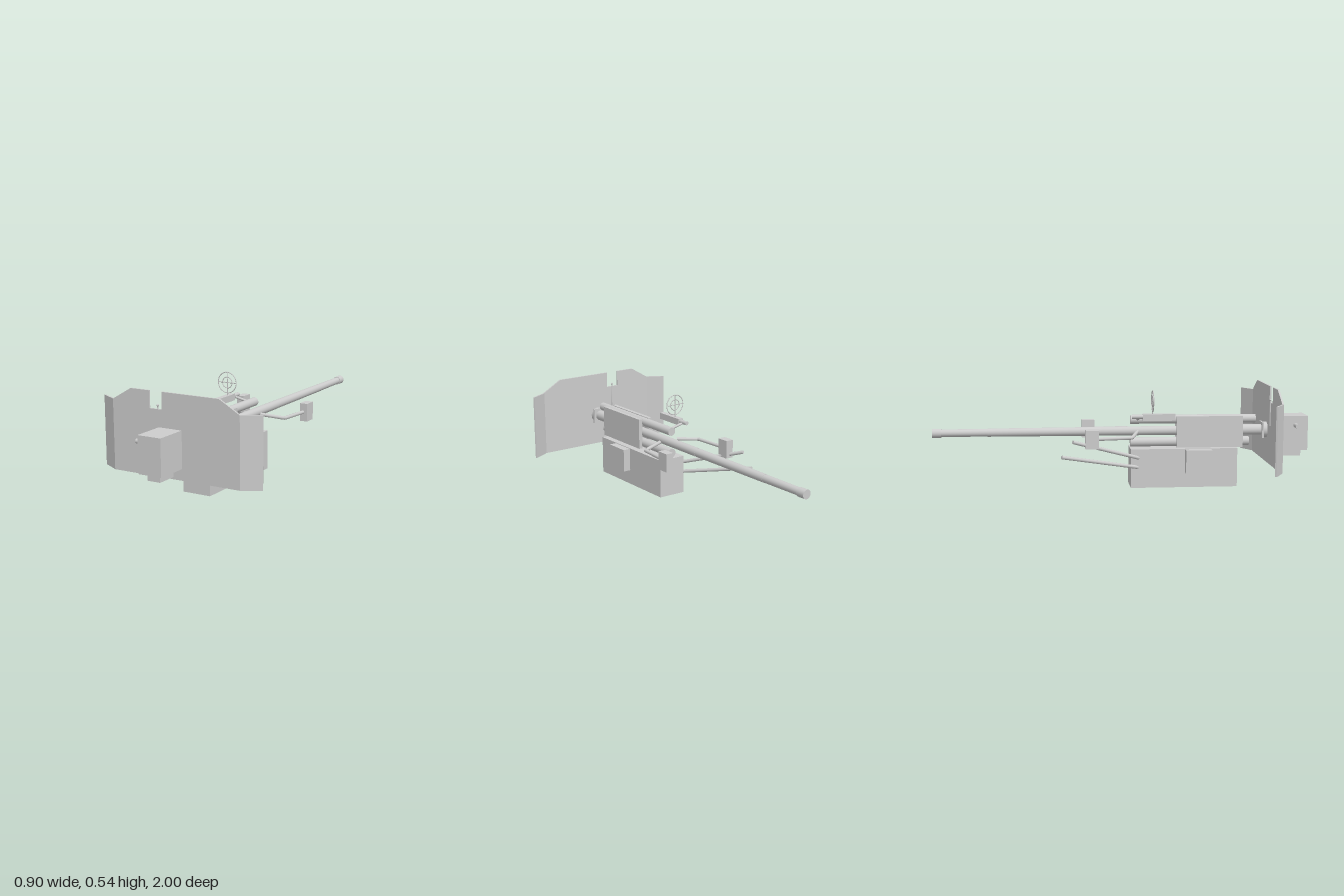
import * as THREE from 'three';

const grey = new THREE.MeshStandardMaterial({ color: 0xcccccc });
grey.name = 'light grey';

export function createModel() {
  const model = new THREE.Group();
  model.name = 'deckGun';

  const add = (name, geometry) => {
    const mesh = new THREE.Mesh(geometry, grey);
    mesh.name = name;
    model.add(mesh);
    return mesh;
  };
  // Box given by its extents
  const box = (name, x0, x1, y0, y1, z0, z1) => {
    const m = add(name, new THREE.BoxGeometry(x1 - x0, y1 - y0, z1 - z0));
    m.position.set((x0 + x1) / 2, (y0 + y1) / 2, (z0 + z1) / 2);
    return m;
  };
  // Round bar between two points
  const rod = (name, a, b, r0, r1 = r0, sides = 20) => {
    const p = new THREE.Vector3(...a), q = new THREE.Vector3(...b);
    const d = q.clone().sub(p);
    const m = add(name, new THREE.CylinderGeometry(r1, r0, d.length(), sides));
    m.position.copy(p).add(q).multiplyScalar(0.5);
    m.quaternion.setFromUnitVectors(new THREE.Vector3(0, 1, 0), d.normalize());
    return m;
  };

  // Mount and recoil cylinders
  box('mountBody', -0.078, 0.078, 0, 0.208, 0.045, 0.616);
  box('trunnionBlock', -0.12, 0.12, 0.08, 0.205, 0.335, 0.475);
  rod('upperRecoilCylinder', [0, 0.357, 0.725], [0, 0.357, 0.048], 0.023);
  rod('lowerRecoilCylinder', [0, 0.236, 0.69], [0, 0.236, 0.048], 0.025);

  // Barrel
  const by = 0.296;
  rod('breechTube', [0, by, 0.79], [0, by, 0.62], 0.029);
  rod('barrelRear', [0, by, 0.65], [0, by, -0.18], 0.025, 0.024);
  rod('barrelMiddle', [0, by, -0.18], [0, by, -0.71], 0.0235, 0.022);
  rod('barrelFront', [0, by, -0.71], [0, by, -0.96], 0.021, 0.02);
  rod('muzzle', [0, by, -0.953], [0, by, -1], 0.024);

  // Collar through the shield and front box
  rod('collar', [0, by, 0.835], [0, by, 0.766], 0.042);
  box('collarPlate', -0.042, 0.042, 0.254, 0.338, 0.757, 0.767);
  box('frontBox', -0.065, 0.063, 0.19, 0.375, 0.83, 1);
  box('frontBoxFoot', -0.036, 0.035, 0.155, 0.19, 0.862, 0.97);
  rod('crankHandle', [-0.06, 0.325, 0.932], [-0.12, 0.325, 0.932], 0.012);

  // Shield with sight notch
  const outline = [
    [-0.357, 0.12], [0.357, 0.12], [0.357, 0.475], [0.247, 0.538], [-0.071, 0.538],
    [-0.071, 0.452], [-0.143, 0.452], [-0.143, 0.538], [-0.25, 0.538], [-0.357, 0.475],
  ].map(([x, y]) => new THREE.Vector2(x, y));
  const shield = add('shield', new THREE.ExtrudeGeometry(new THREE.Shape(outline), { depth: 0.009, bevelEnabled: false }));
  shield.position.z = 0.787;

  for (const s of [-1, 1]) {
    const side = s > 0 ? 'left' : 'right';
    // Cradle cheek beside the barrel
    box(side + 'CradleCheek', s * 0.031 - 0.011, s * 0.031 + 0.011, 0.208, 0.376, 0.295, 0.652);

    // Swept-back shield wing
    const wing = add(side + 'ShieldWing', new THREE.BoxGeometry(0.106, 0.355, 0.009));
    wing.position.set(s * 0.401, 0.2975, 0.766);
    wing.rotation.y = s * Math.atan2(0.052, 0.093);

    // Shoulder rest on a bent arm
    box(side + 'ShoulderPad', s * 0.1975 - 0.0215, s * 0.1975 + 0.0215, 0.235, 0.332, -0.202, -0.134);
    const arm = new THREE.CurvePath();
    const pts = [[0.055, 0.3, 0.081], [0.178, 0.286, 0.042], [0.194, 0.284, -0.15]]
      .map(([x, y, z]) => new THREE.Vector3(s * x, y, z));
    for (let i = 0; i < 2; i++) arm.add(new THREE.LineCurve3(pts[i], pts[i + 1]));
    add(side + 'ShoulderArm', new THREE.TubeGeometry(arm, 32, 0.0095, 10));
  }

  // Training levers
  rod('upperLever', [-0.07, 0.16, 0.09], [-0.236, 0.277, -0.268], 0.0095, 0.0095, 12);
  rod('lowerLever', [-0.07, 0.11, 0.085], [-0.248, 0.201, -0.325], 0.0095, 0.0095, 12);

  // Ring sight on its rail
  const sx = -0.102, sy = 0.468, sz = 0.157;
  box('sightRail', -0.118, -0.088, 0.365, 0.4, 0.105, 0.277);
  rod('sightEyepiece', [sx, 0.386, 0.11], [sx, 0.386, 0.048], 0.011, 0.011, 12);
  rod('sightBracket', [sx, 0.38, 0.085], [0, 0.357, 0.085], 0.007, 0.007, 12);
  for (const r of [0.055, 0.029]) {
    add('sightRing', new THREE.TorusGeometry(r, 0.0025, 6, 32)).position.set(sx, sy, sz);
  }
  rod('sightCrossbar', [sx - 0.055, sy, sz], [sx + 0.055, sy, sz], 0.0025, 0.0025, 6);
  rod('sightPost', [sx, 0.395, sz], [sx, sy + 0.055, sz], 0.0025, 0.0025, 6);

  // Front bead sight behind the notch
  rod('beadPost', [sx, 0.33, 0.784], [sx, 0.468, 0.784], 0.0035, 0.0035, 8);
  add('bead', new THREE.SphereGeometry(0.006, 10, 8)).position.set(sx, 0.468, 0.784);

  return model;
}
